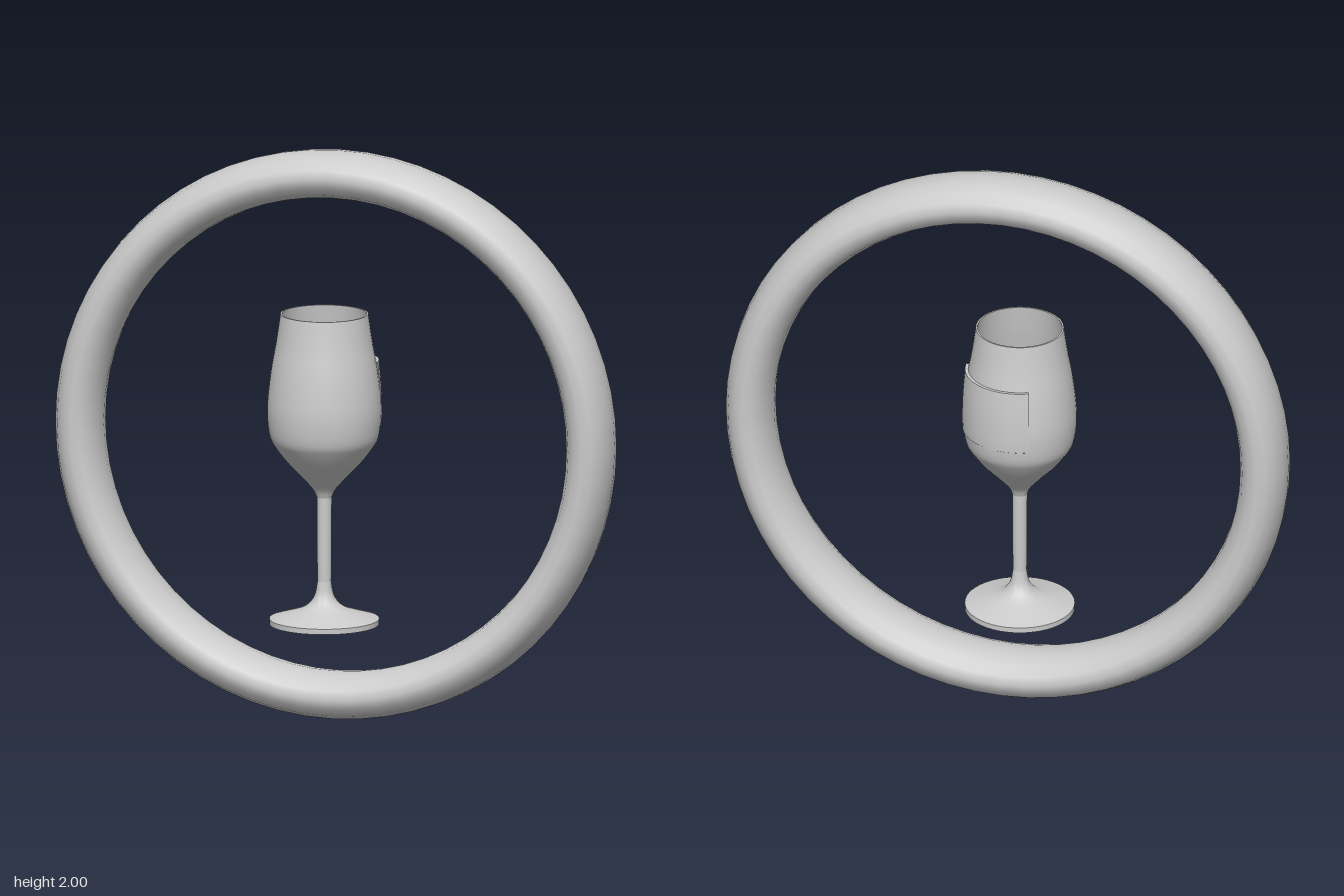
import * as THREE from 'three';
import { toCreasedNormals } from 'three/addons/utils/BufferGeometryUtils.js';

const material = new THREE.MeshStandardMaterial({ color: 0xcccccc, side: THREE.DoubleSide });

function addMesh(parent, name, geometry) {
  const mesh = new THREE.Mesh(geometry, material);
  mesh.name = name;
  parent.add(mesh);
  return mesh;
}

const points = (pairs) => pairs.map(([r, y]) => new THREE.Vector2(r, y));
const smooth = (pairs, n) => new THREE.SplineCurve(points(pairs)).getPoints(n);

// Revolve a profile, keeping sharp edges sharp
function revolve(profile, segments = 48, start = 0, length = Math.PI * 2) {
  return toCreasedNormals(new THREE.LatheGeometry(profile, segments, start, length), 0.6);
}

export function createModel() {
  const model = new THREE.Group();
  model.name = 'ringedWineGlass';

  // Upright ring with an oval section, wider front to back
  const ring = new THREE.TorusGeometry(0.917, 0.083, 16, 64);
  ring.scale(1, 1, 1.51);
  ring.translate(0, 1, 0);
  addMesh(model, 'ring', ring);

  const glass = new THREE.Group();
  glass.name = 'wineGlass';
  glass.position.x = -0.042;
  model.add(glass);

  // Foot with a thin rim, sweeping up into the stem
  const footTop = smooth([[0.19, 0.349], [0.13, 0.367], [0.08, 0.384], [0.05, 0.405],
    [0.032, 0.435], [0.024, 0.48]], 18);
  addMesh(glass, 'foot', revolve([...points([[0, 0.33], [0.19, 0.33]]), ...footTop]));

  // Stem
  const stem = new THREE.CylinderGeometry(0.026, 0.024, 0.3, 32, 1, true);
  stem.translate(0, 0.63, 0);
  addMesh(glass, 'stem', stem);

  // Hollow bowl: outer wall, lip, inner wall
  const outer = smooth([[0.026, 0.775], [0.04, 0.805], [0.08, 0.85], [0.128, 0.9], [0.168, 0.952],
    [0.188, 0.99], [0.197, 1.06], [0.195, 1.13], [0.183, 1.23], [0.167, 1.32], [0.152, 1.422]], 36);
  const inner = smooth([[0.146, 1.422], [0.16, 1.32], [0.176, 1.23], [0.188, 1.13], [0.19, 1.06],
    [0.181, 0.99], [0.16, 0.952], [0.12, 0.905], [0.07, 0.855], [0, 0.83]], 30);
  addMesh(glass, 'bowl', revolve([...outer, ...inner]));

  // Thin raised panel wrapped round part of the back of the bowl
  const panel = points([[0.19, 1.03], [0.198, 1.035], [0.2, 1.07], [0.1985, 1.14],
    [0.195, 1.2], [0.189, 1.26], [0.174, 1.26]]);
  const deg = Math.PI / 180;
  addMesh(glass, 'backPanel', revolve(panel, 18, 92 * deg, 112 * deg));

  return model;
}
